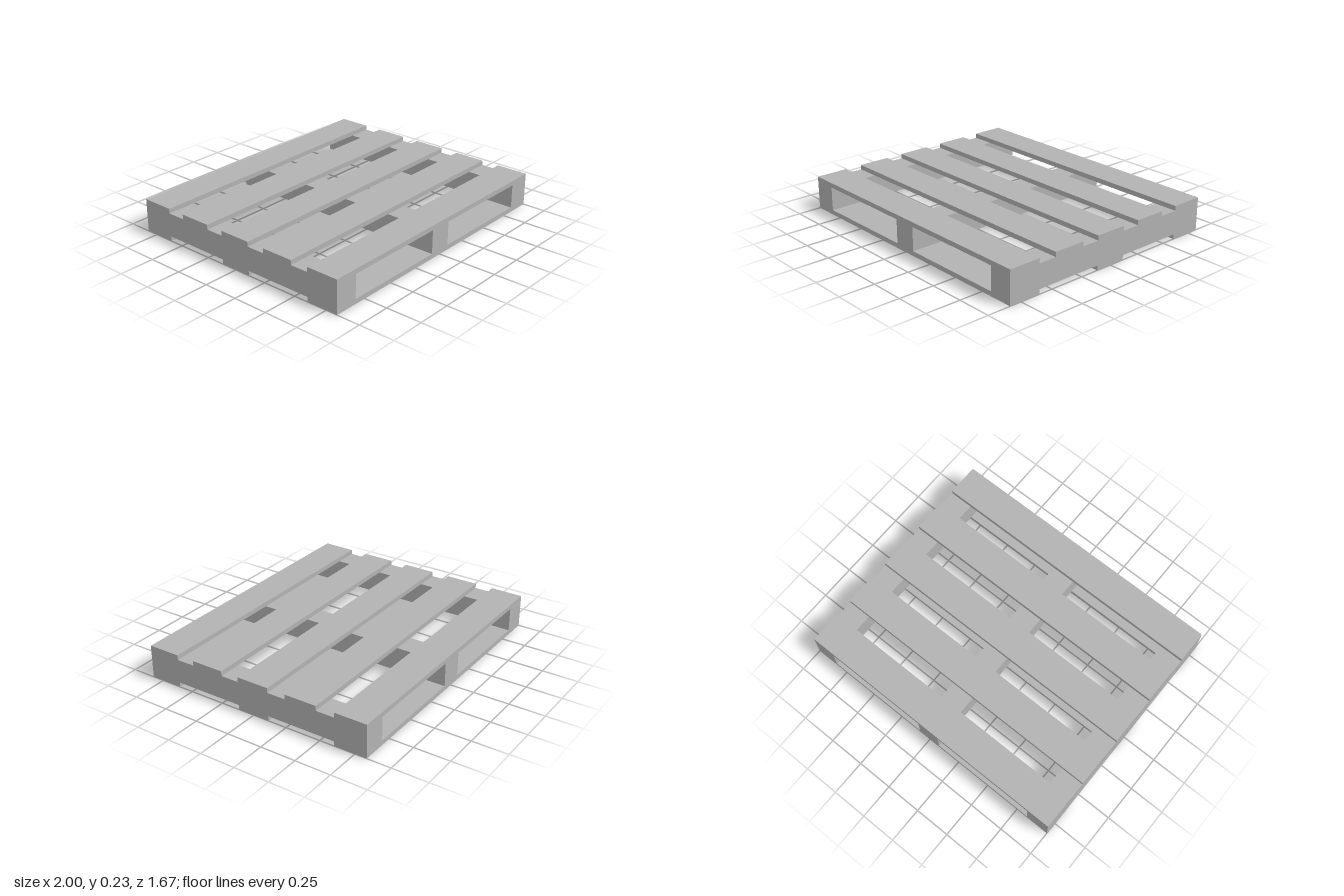
import * as THREE from 'three';

const LENGTH = 2, DEPTH = 1.6667;      // overall footprint
const BOARD_W = 0.2292, BOARD_T = 0.0333; // deck board section
const BEAM = 0.1667;                   // square stringer section

export function createModel() {
  const model = new THREE.Group();
  model.name = 'pallet';
  const greyWood = new THREE.MeshStandardMaterial({ color: 0xb2b2b2 });
  greyWood.name = 'greyWood';

  const addBox = (name, w, h, d, x, y, z) => {
    const mesh = new THREE.Mesh(new THREE.BoxGeometry(w, h, d), greyWood);
    mesh.name = name;
    mesh.position.set(x, y, z);
    model.add(mesh);
  };

  // Evenly spread board centres, outer boards flush with the ends
  const reach = (DEPTH - BOARD_W) / 2;
  const boards = (name, count, y) => {
    for (let i = 0; i < count; i++) {
      const z = -reach + (2 * reach * i) / (count - 1);
      addBox(name + (i + 1), LENGTH, BOARD_T, BOARD_W, 0, y, z);
    }
  };

  boards('bottomBoard', 3, BOARD_T / 2);
  boards('topBoard', 5, BOARD_T * 1.5 + BEAM);

  // Three stringers running front to back
  for (const side of [-1, 0, 1]) {
    const name = side === 0 ? 'middleStringer' : side > 0 ? 'leftStringer' : 'rightStringer';
    addBox(name, BEAM, BEAM, DEPTH, side * (LENGTH - BEAM) / 2, BOARD_T + BEAM / 2, 0);
  }

  return model;
}
